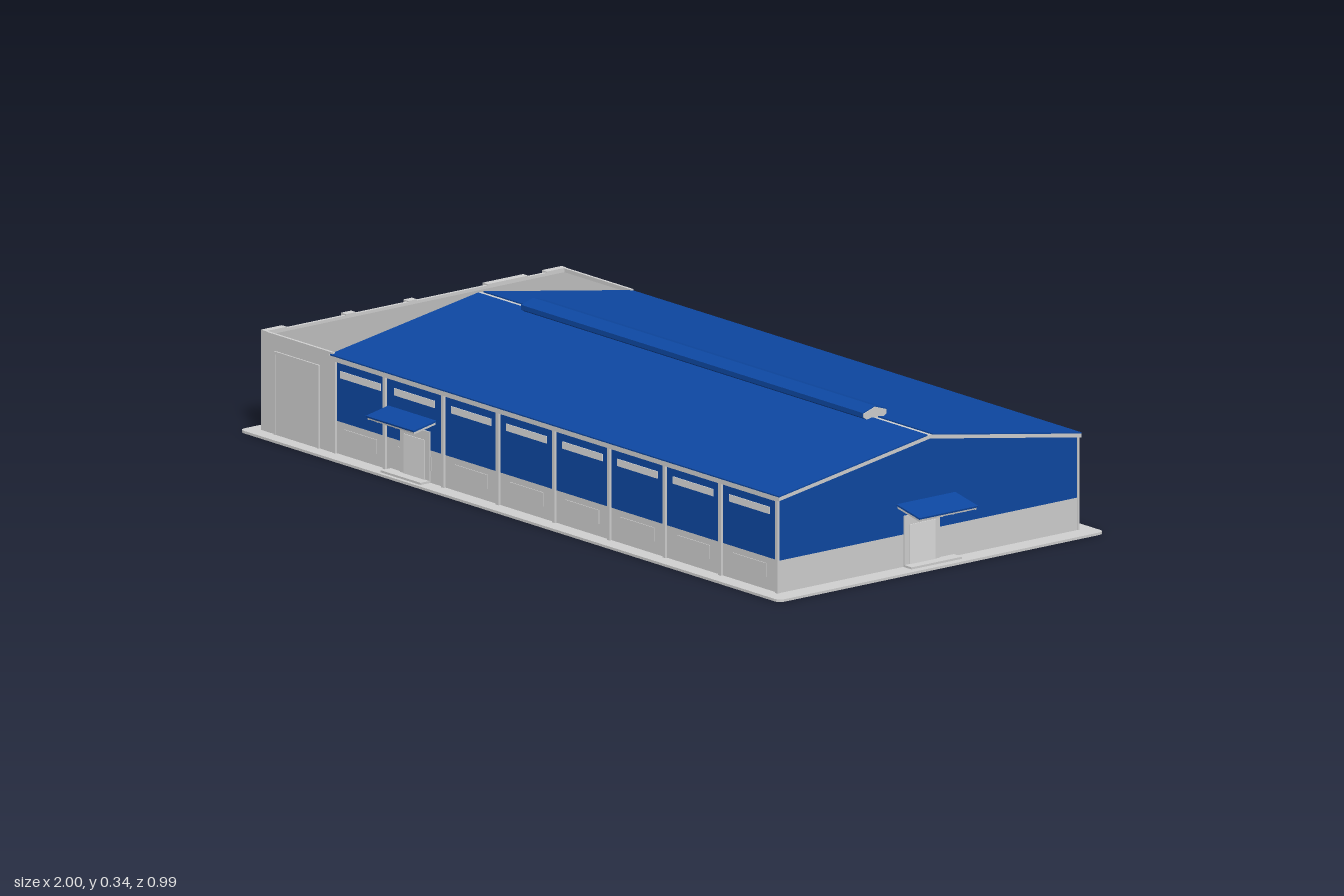
import * as THREE from 'three';

const paint = (name, color) => {
  const m = new THREE.MeshStandardMaterial({ color });
  m.name = name;
  return m;
};

export function createModel() {
  const blue = paint('blue cladding', 0x0d47a1);
  const grey = paint('light grey concrete', 0xcfcfcf);
  const roofGrey = paint('flat roof grey', 0xa8a8a8);
  const pale = paint('pale glazing', 0xdcdcdc);

  const root = new THREE.Group();
  root.name = 'warehouse';
  const add = (name, geo, mat, parent = root) => {
    const m = new THREE.Mesh(geo, mat);
    m.name = name;
    parent.add(m);
    return m;
  };
  // box given by its limits on each axis
  const box = (name, mat, x0, x1, y0, y1, z0, z1, parent) => {
    const m = add(name, new THREE.BoxGeometry(x1 - x0, y1 - y0, z1 - z0), mat, parent);
    m.position.set((x0 + x1) / 2, (y0 + y1) / 2, (z0 + z1) / 2);
    return m;
  };
  // [z, y] profile swept from x0 to x1
  const sweep = (name, mat, pts, x0, x1) => {
    const s = new THREE.Shape(pts.map(([z, y]) => new THREE.Vector2(-z, y)));
    const g = new THREE.ExtrudeGeometry(s, { depth: x1 - x0, bevelEnabled: false });
    g.rotateY(Math.PI / 2).translate(x0, 0, 0);
    return add(name, g, mat);
  };

  const C = -0.013, HW = 0.441;               // ridge line and half width
  const FRONT = C + HW, BACK = C - HW;
  const X0 = -0.695, X1 = 0.917;              // hall ends
  const BASE = 0.083, EAVE = 0.228, RIDGE = 0.3;

  // ground slab with rounded corners
  const sx0 = -0.99, sx1 = 0.966, sz0 = -0.497, sz1 = 0.468, r = 0.018;
  const slab = new THREE.Shape();
  slab.moveTo(sx0 + r, -sz1).lineTo(sx1 - r, -sz1).quadraticCurveTo(sx1, -sz1, sx1, -sz1 + r)
    .lineTo(sx1, -sz0 - r).quadraticCurveTo(sx1, -sz0, sx1 - r, -sz0)
    .lineTo(sx0 + r, -sz0).quadraticCurveTo(sx0, -sz0, sx0, -sz0 - r)
    .lineTo(sx0, -sz1 + r).quadraticCurveTo(sx0, -sz1, sx0 + r, -sz1);
  add('groundSlab', new THREE.ExtrudeGeometry(slab, { depth: 0.006, bevelEnabled: false, curveSegments: 4 })
    .rotateX(-Math.PI / 2), grey);

  // hall walls
  box('hallPlinth', grey, X0, X1, 0.006, BASE, BACK, FRONT);
  sweep('hallCladding', blue,
    [[FRONT, BASE], [FRONT, EAVE], [C, RIDGE], [BACK, EAVE], [BACK, BASE]], X0, X1);

  // roof deck with light edges, blue sheets and an open ridge strip
  const RW = HW + 0.007, SLOPE = (RIDGE - EAVE) / HW;
  const roofY = (d, up) => RIDGE - SLOPE * d + up;
  sweep('roofDeck', grey, [
    [C + RW, roofY(RW, 0)], [C + RW, roofY(RW, 0.009)], [C, RIDGE + 0.009],
    [C - RW, roofY(RW, 0.009)], [C - RW, roofY(RW, 0)], [C, RIDGE]], -0.707, 0.925);
  for (const s of [1, -1]) {
    sweep('roofSheet', blue, [
      [C + s * 0.008, roofY(0.008, 0.009)], [C + s * 0.008, roofY(0.008, 0.012)],
      [C + s * RW, roofY(RW, 0.012)], [C + s * RW, roofY(RW, 0.009)]], -0.702, 0.925);
  }

  // ridge ventilator
  const vent = (w, d) => [[C + 0.018, 0.303], [C + w, 0.314], [C + w, 0.325 - d], [C, 0.336 - d],
    [C - w, 0.325 - d], [C - w, 0.314], [C - 0.018, 0.303]];
  sweep('ridgeVentCore', grey, vent(0.034, 0.002), -0.515, 0.726);
  sweep('ridgeVentCover', blue, vent(0.036, 0), -0.513, 0.724);
  box('gableVent', blue, -0.72, X0, 0.243, 0.268, C - 0.04, C + 0.027);

  // columns, bay windows and eave trim on both long walls
  const cols = [-0.69, -0.508, -0.296, -0.098, 0.106, 0.305, 0.506, 0.708, 0.914];
  for (const s of [1, -1]) {
    const z = C + s * HW;
    const strip = (name, mat, x0, x1, y0, y1, t) =>
      box(name, mat, x0, x1, y0, y1, Math.min(z, z + s * t), Math.max(z, z + s * t));
    cols.forEach((x, i) => {
      strip('column', grey, x - 0.005, x + 0.005, 0.006, EAVE, 0.006);
      if (i === cols.length - 1) return;
      const mid = (x + cols[i + 1]) / 2;
      strip('highWindow', pale, mid - 0.073, mid + 0.073, 0.187, 0.204, 0.002);
      // lower panels, flush with the plinth
      strip('lowerWindow', grey, mid - 0.06, mid + 0.06, 0.035, 0.068, 0.002);
    });
    strip('eaveTrim', grey, X0, X1, EAVE - 0.004, EAVE + 0.006, 0.006);
  }

  // entrance: local +z points away from the wall
  const entrance = (name, doorX0, doorX1, canX0, canX1, depth, stepX0, stepX1) => {
    const g = new THREE.Group();
    g.name = name;
    box('doorSurround', grey, doorX0, doorX1, 0.006, 0.127, -0.002, 0.004, g);
    box('doorLeaf', pale, doorX0 + 0.015, doorX1 - 0.015, 0.01, 0.105, 0.003, 0.006, g);
    box('doorStep', grey, stepX0, stepX1, 0.006, 0.011, 0, 0.03, g);
    const canopy = new THREE.Group();
    canopy.name = 'canopy';
    canopy.position.y = 0.154;
    canopy.rotation.x = 0.19;
    box('canopySheet', blue, canX0, canX1, 0, 0.004, -0.004, depth, canopy);
    for (let i = 0; i < 6; i++) {
      const x = canX0 + 0.004 + (canX1 - canX0 - 0.008) * i / 5;
      box('canopyRafter', grey, x - 0.002, x + 0.002, -0.006, 0, 0, depth - 0.002, canopy);
    }
    for (const z of [0.004, depth / 2, depth - 0.004])
      box('canopyPurlin', grey, canX0 + 0.002, canX1 - 0.002, -0.005, 0, z - 0.002, z + 0.002, canopy);
    g.add(canopy);
    root.add(g);
    return g;
  };
  entrance('frontEntrance', -0.452, -0.345, -0.498, -0.325, 0.068, -0.49, -0.345)
    .position.z = FRONT;
  const side = entrance('sideEntrance', -0.06, 0.045, -0.08, 0.094, 0.084, -0.06, 0.09);
  side.position.x = X1;
  side.rotation.y = Math.PI / 2;

  // office block with parapet
  const OX = -0.945, OZ0 = -0.459, OZ1 = 0.432;
  box('officeWalls', grey, OX, X0, 0.006, 0.231, OZ0, OZ1);
  box('officeRoof', roofGrey, OX + 0.006, X0, 0.231, 0.234, OZ0 + 0.007, OZ1 - 0.007);
  box('parapetWest', grey, OX, OX + 0.008, 0.231, 0.241, OZ0, OZ1);
  box('parapetFront', grey, OX, X0, 0.231, 0.243, OZ1 - 0.007, OZ1);
  box('parapetBack', grey, OX, X0, 0.231, 0.243, OZ0, OZ0 + 0.007);
  for (const [z0, z1] of [[OZ0, -0.4], [-0.345, -0.225], [-0.015, 0.01], [0.165, 0.195], [0.37, OZ1]])
    box('facadePier', grey, OX - 0.01, OX + 0.008, 0.006, 0.244, z0, z1);

  // west facade windows with blue spandrels
  for (const [z0, z1] of [[-0.39, -0.355], [-0.205, -0.035], [0.025, 0.155], [0.21, 0.3]]) {
    box('officeWindow', pale, OX - 0.003, OX, 0.045, 0.2, z0, z1);
    box('officeSpandrel', blue, OX - 0.005, OX, 0.13, 0.152, z0, z1);
  }
  box('officeDoor', pale, OX - 0.006, OX, 0.01, 0.095, 0.215, 0.275);
  box('officeCanopy', grey, -1, OX, 0.104, 0.11, 0.195, 0.295);
  box('officeStep', grey, -0.985, OX, 0.006, 0.012, 0.2, 0.29);

  // framed gates on the office ends
  for (const [z, s] of [[OZ1, 1], [OZ0, -1]]) {
    const plate = (name, x0, x1, y0, y1, t) =>
      box(name, grey, x0, x1, y0, y1, Math.min(z, z + s * t), Math.max(z, z + s * t));
    plate('gatePanel', -0.9, -0.745, 0.006, 0.2, 0.002);
    plate('gateJamb', -0.904, -0.898, 0.006, 0.204, 0.004);
    plate('gateJamb', -0.747, -0.741, 0.006, 0.204, 0.004);
    plate('gateLintel', -0.898, -0.747, 0.198, 0.204, 0.004);
  }

  return root;
}
